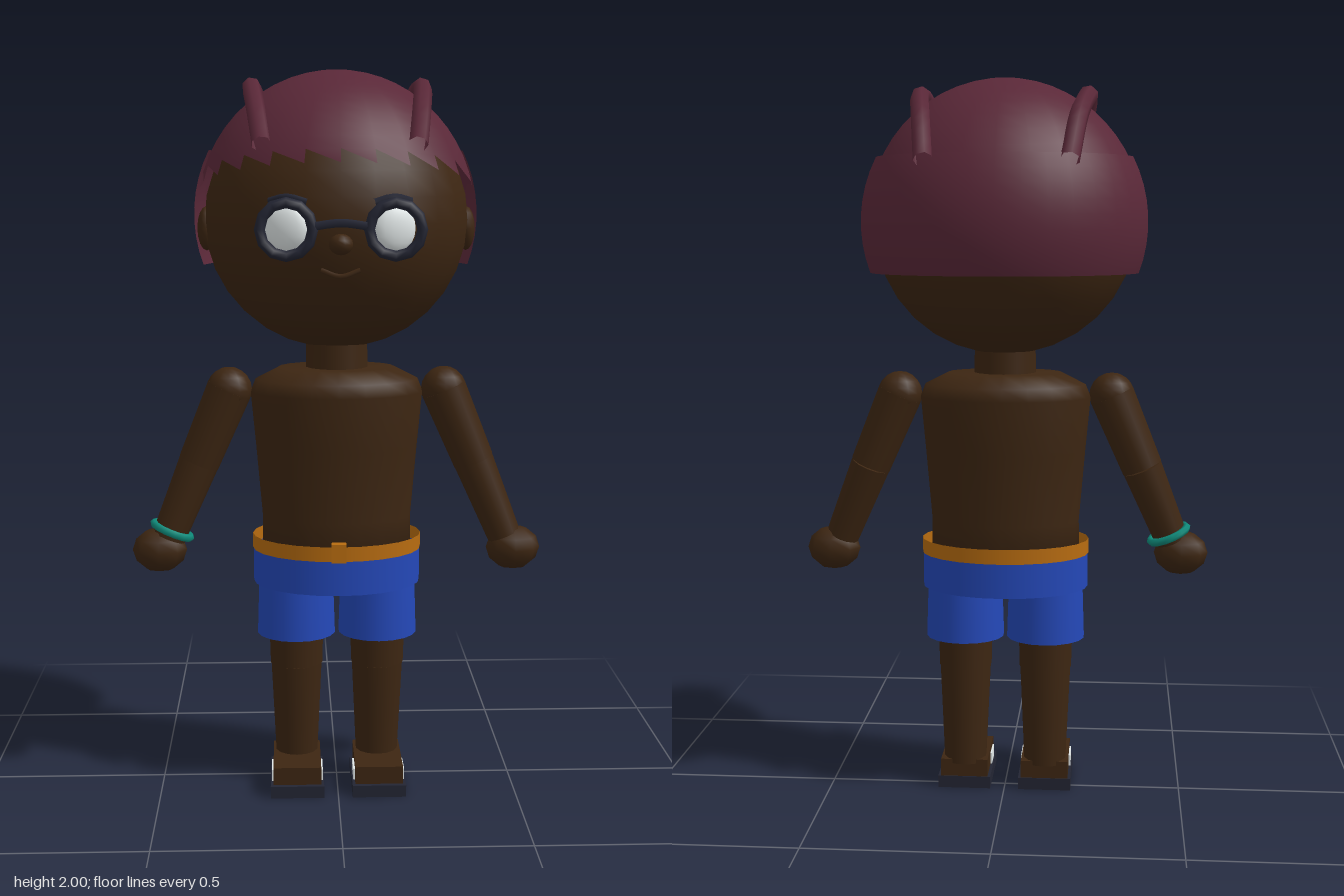
import * as THREE from 'three';

const mat = (name, color, side = THREE.FrontSide) => {
  const m = new THREE.MeshStandardMaterial({ color, side });
  m.name = name;
  return m;
};

export function createModel() {
  const skin = mat('skin', 0x3d2612);
  const hair = mat('hair', 0x5a2838, THREE.DoubleSide);
  const blue = mat('shorts blue', 0x2448b8, THREE.DoubleSide);
  const orange = mat('belt orange', 0xb86c10, THREE.DoubleSide);
  const dark = mat('dark navy', 0x232533);
  const white = mat('white', 0xe2e8e8);
  const teal = mat('teal', 0x0f8a7a);

  const root = new THREE.Group();
  const V = (x, y, z) => new THREE.Vector3(x, y, z);
  const add = (name, geo, material, x = 0, y = 0, z = 0) => {
    const m = new THREE.Mesh(geo, material);
    m.name = name;
    m.position.set(x, y, z);
    root.add(m);
    return m;
  };
  const ball = (name, material, p, r, w = 16, h = 12) => {
    const m = add(name, new THREE.SphereGeometry(1, w, h), material, ...p);
    m.scale.set(...r);
    return m;
  };
  const box = (name, material, size, p) => add(name, new THREE.BoxGeometry(...size), material, ...p);
  const align = (m, dir) => m.quaternion.setFromUnitVectors(V(0, 1, 0), dir.clone().normalize());
  // tapered limb from a (radius ra) to b (radius rb)
  const limb = (name, material, a, b, ra, rb, seg = 12) => {
    const d = a.clone().sub(b);
    const c = a.clone().add(b).multiplyScalar(0.5);
    const m = add(name, new THREE.CylinderGeometry(ra, rb, d.length(), seg), material, c.x, c.y, c.z);
    align(m, d);
    return m;
  };
  const tube = (name, material, pts, r, n = 12, seg = 8) =>
    add(name, new THREE.TubeGeometry(new THREE.CatmullRomCurve3(pts), n, r, seg), material);

  // head and neck
  ball('head', skin, [0, 1.6, 0], [0.36, 0.35, 0.34], 24, 16);
  limb('neck', skin, V(0, 1.29, 0.01), V(0, 1.18, 0.01), 0.085, 0.088, 14);

  // hair cap whose lower edge follows a plane sloping up to the front
  const cap = new THREE.SphereGeometry(1, 24, 12);
  const pos = cap.attributes.position;
  const [rx, ry, rz, slope] = [0.38, 0.39, 0.365, 0.2];
  for (let row = 0, i = 0; row <= 12; row++) {
    for (let col = 0; col <= 24; col++, i++) {
      const phi = (col / 24) * Math.PI * 2;
      const b = slope * rz * Math.sin(phi);
      const end = Math.acos(0.076 / Math.hypot(ry, b)) - Math.atan2(b, ry);
      const t = (end * row) / 12;
      pos.setXYZ(i, -rx * Math.cos(phi) * Math.sin(t), ry * Math.cos(t), rz * Math.sin(phi) * Math.sin(t));
    }
  }
  cap.computeVertexNormals();
  add('hairCap', cap, hair, 0, 1.61, 0);

  // longer hair around the back of the head
  const back = new THREE.SphereGeometry(1, 16, 8, Math.PI + 0.15, Math.PI - 0.3, 1.1, 0.824);
  add('hairBack', back, hair, 0, 1.61, 0).scale.set(0.396, 0.391, 0.375);

  // belt, shorts waist and buckle
  const ring = (name, material, y0, y1, r) => {
    const m = add(name, new THREE.CylinderGeometry(r, r, y1 - y0, 24, 1, true), material, 0, (y0 + y1) / 2, 0.015);
    m.scale.z = 0.77;
  };
  ring('shortsWaist', blue, 0.59, 0.69, 0.234);
  ring('belt', orange, 0.686, 0.727, 0.236);
  box('buckle', orange, [0.04, 0.052, 0.025], [0, 0.713, 0.203]);

  // torso
  const profile = [[0, 0.6], [0.21, 0.6], [0.208, 0.78], [0.225, 0.98], [0.239, 1.13], [0.225, 1.165], [0.16, 1.198], [0, 1.2]];
  const torso = add('torso', new THREE.LatheGeometry(profile.map(p => new THREE.Vector2(...p)), 20), skin, 0, 0, 0.012);
  torso.scale.z = 0.71;

  // face
  ball('nose', skin, [0, 1.55, 0.342], [0.031, 0.027, 0.028], 10, 8);
  tube('mouth', skin, [V(-0.05, 1.484, 0.318), V(0, 1.468, 0.322), V(0.05, 1.484, 0.318)], 0.007, 8, 6);
  tube('glassesBridge', dark, [V(-0.075, 1.595, 0.355), V(0, 1.604, 0.355), V(0.075, 1.595, 0.355)], 0.012, 8, 6);

  for (const s of [-1, 1]) {
    ball('ear', skin, [s * 0.355, 1.577, 0], [0.025, 0.06, 0.042], 12, 8);
    ball('eye', white, [s * 0.138, 1.588, 0.312], [0.058, 0.062, 0.025], 14, 10).rotation.y = s * 0.35;
    add('glassesRim', new THREE.TorusGeometry(0.067, 0.014, 6, 12), dark, s * 0.138, 1.588, 0.355);
    tube('eyebrow', dark, [V(s * 0.085, 1.655, 0.328), V(s * 0.135, 1.668, 0.318), V(s * 0.18, 1.657, 0.294)], 0.01, 6, 6);

    // raised braid running front to back
    tube('braid', hair, [V(s * 0.2, 1.8, 0.262), V(s * 0.215, 1.89, 0.17), V(s * 0.228, 1.95, 0.04),
      V(s * 0.225, 1.945, -0.06), V(s * 0.207, 1.89, -0.19), V(s * 0.188, 1.77, -0.3)], 0.026, 16, 7);

    // arm
    const shoulder = V(s * 0.298, 1.135, 0.015);
    const elbow = V(s * 0.385, 0.93, 0.018);
    const wrist = V(s * 0.472, 0.72, 0.036);
    ball('shoulder', skin, shoulder.toArray(), [0.063, 0.063, 0.063], 12, 10);
    limb('upperArm', skin, shoulder, elbow, 0.063, 0.057);
    limb('forearm', skin, elbow, wrist, 0.056, 0.047);
    ball('hand', skin, [s * 0.497, 0.685, 0.037], [0.076, 0.063, 0.063], 8, 6);

    // leg
    const x = s * 0.115;
    const leg = add('shortsLeg', new THREE.CylinderGeometry(0.105, 0.111, 0.18, 18, 1, true), blue, x, 0.53, 0.02);
    leg.name = 'shortsLeg';
    limb('thigh', skin, V(x, 0.6, 0.026), V(x, 0.352, 0.022), 0.082, 0.075, 14);
    limb('shin', skin, V(x, 0.352, 0.02), V(x, 0.07, 0.008), 0.073, 0.06, 14);

    // shoe
    box('sole', dark, [0.15, 0.034, 0.222], [x, 0.017, 0.068]);
    box('shoeUpper', skin, [0.134, 0.052, 0.206], [x, 0.058, 0.063]);
    box('shoePatch', white, [0.144, 0.032, 0.08], [x, 0.052, 0.1]);
  }

  // bracelet around the right wrist
  const bracelet = add('bracelet', new THREE.TorusGeometry(0.055, 0.011, 6, 14), teal, -0.462, 0.739, 0.03);
  bracelet.quaternion.setFromUnitVectors(V(0, 0, 1), V(0.09, 0.21, -0.015).normalize());

  return root;
}
